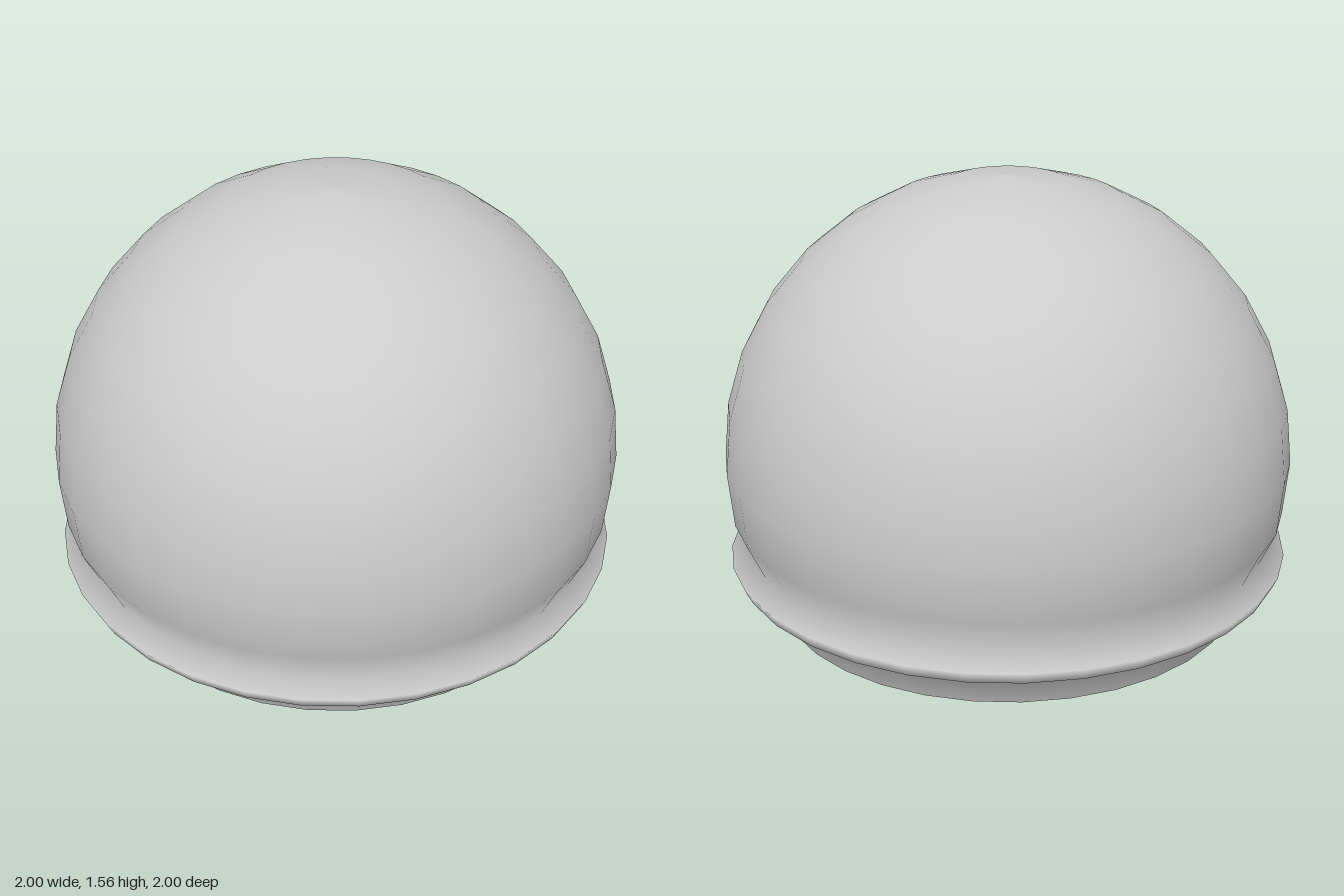
import * as THREE from 'three';

const SEGMENTS = 32;
const CENTRE_Y = 0.56;
const TURN = -0.02; // slight twist of the facets about the axis

// Points of a meridian arc from the lowest kept latitude up to the pole
function domeArc(radius) {
  const points = [];
  for (let i = -1; i <= 8; i++) {
    const a = (i * Math.PI) / 16;
    points.push(new THREE.Vector2(i === 8 ? 0 : radius * Math.cos(a), CENTRE_Y + radius * Math.sin(a)));
  }
  return points;
}

const toPoints = (pairs) => pairs.map(([x, y]) => new THREE.Vector2(x, y));

function revolve(name, points, material) {
  const mesh = new THREE.Mesh(new THREE.LatheGeometry(points, SEGMENTS, TURN), material);
  mesh.name = name;
  return mesh;
}

export function createModel() {
  const group = new THREE.Group();
  group.name = 'domeHelmet';
  const material = new THREE.MeshStandardMaterial({ color: 0xcccccc });

  // Outer skin: tapered neck, flared collar and dome in one smooth sweep
  const collar = toPoints([[0.825, 0], [0.878, 0.12], [0.973, 0.155], [0.995, 0.2], [0.923, 0.24]]);
  group.add(revolve('outerShell', [...collar, ...domeArc(1)], material));

  // Inner skin: runs from the pole down to the neck opening, facing inward
  const neck = toPoints([[0.9, 0.24], [0.84, 0.17], [0.775, 0.125], [0.78, 0.09], [0.818, 0]]);
  group.add(revolve('innerLining', [...domeArc(0.98).reverse(), ...neck], material));

  // Thin flat lip closing the two skins at the bottom
  group.add(revolve('neckLip', toPoints([[0.818, 0], [0.825, 0]]), material));

  return group;
}
